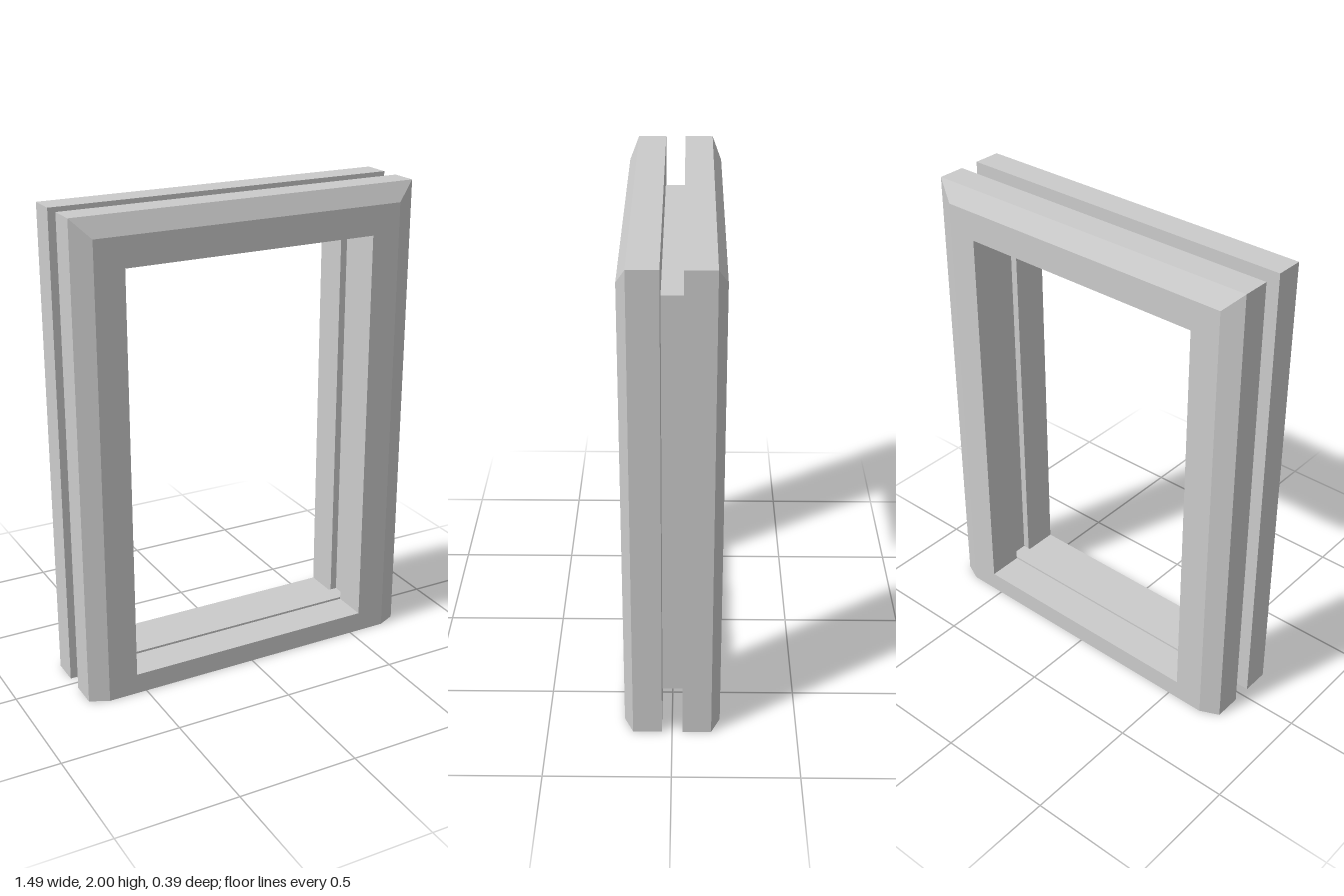
import * as THREE from 'three';

const material = new THREE.MeshStandardMaterial({ color: 0xcccccc, flatShading: true });

// Rectangular ring: outer and inner are [halfWidth, bottom, top]
function ringShape(outer, inner) {
  const corners = ([w, b, t]) => [
    new THREE.Vector2(-w, b), new THREE.Vector2(w, b),
    new THREE.Vector2(w, t), new THREE.Vector2(-w, t),
  ];
  const shape = new THREE.Shape(corners(outer));
  shape.holes.push(new THREE.Path(corners(inner).reverse()));
  return shape;
}

const HALF_W = 0.743, HEIGHT = 2, BEVEL = 0.078;
const Z_IN = 0.041, Z_EDGE = 0.157, Z_FACE = 0.193;

// One frame half, bevelled on its sides and top but square at the bottom
function frameHalfGeometry() {
  const shape = ringShape([HALF_W, 0, HEIGHT], [0.541, 0.087, 1.8]);
  const geo = new THREE.ExtrudeGeometry(shape, { depth: 2, steps: 2, bevelEnabled: false });
  const layers = [Z_IN, Z_EDGE, Z_FACE];
  const p = geo.attributes.position;
  for (let i = 0; i < p.count; i++) {
    const layer = Math.round(p.getZ(i));
    p.setZ(i, layers[layer]);
    if (layer < 2) continue;
    // Pull the outer rim of the face inwards
    const x = p.getX(i);
    if (Math.abs(x) > HALF_W - 0.01) p.setX(i, x - Math.sign(x) * BEVEL);
    if (p.getY(i) > HEIGHT - 0.01) p.setY(i, HEIGHT - BEVEL);
  }
  geo.computeVertexNormals();
  return geo;
}

export function createModel() {
  const group = new THREE.Group();
  group.name = 'windowFrame';

  const add = (name, geo) => {
    const mesh = new THREE.Mesh(geo, material);
    mesh.name = name;
    group.add(mesh);
  };

  add('frontFrame', frameHalfGeometry());
  add('backFrame', frameHalfGeometry().rotateY(Math.PI));

  // Thin lining joining the halves, recessed on both sides of the jambs
  const lining = new THREE.ExtrudeGeometry(
    ringShape([0.58, 0.087, 1.838], [0.57, 0.096, 1.828]),
    { depth: 2 * Z_IN, bevelEnabled: false },
  ).translate(0, 0, -Z_IN);
  add('centerLining', lining);

  return group;
}
